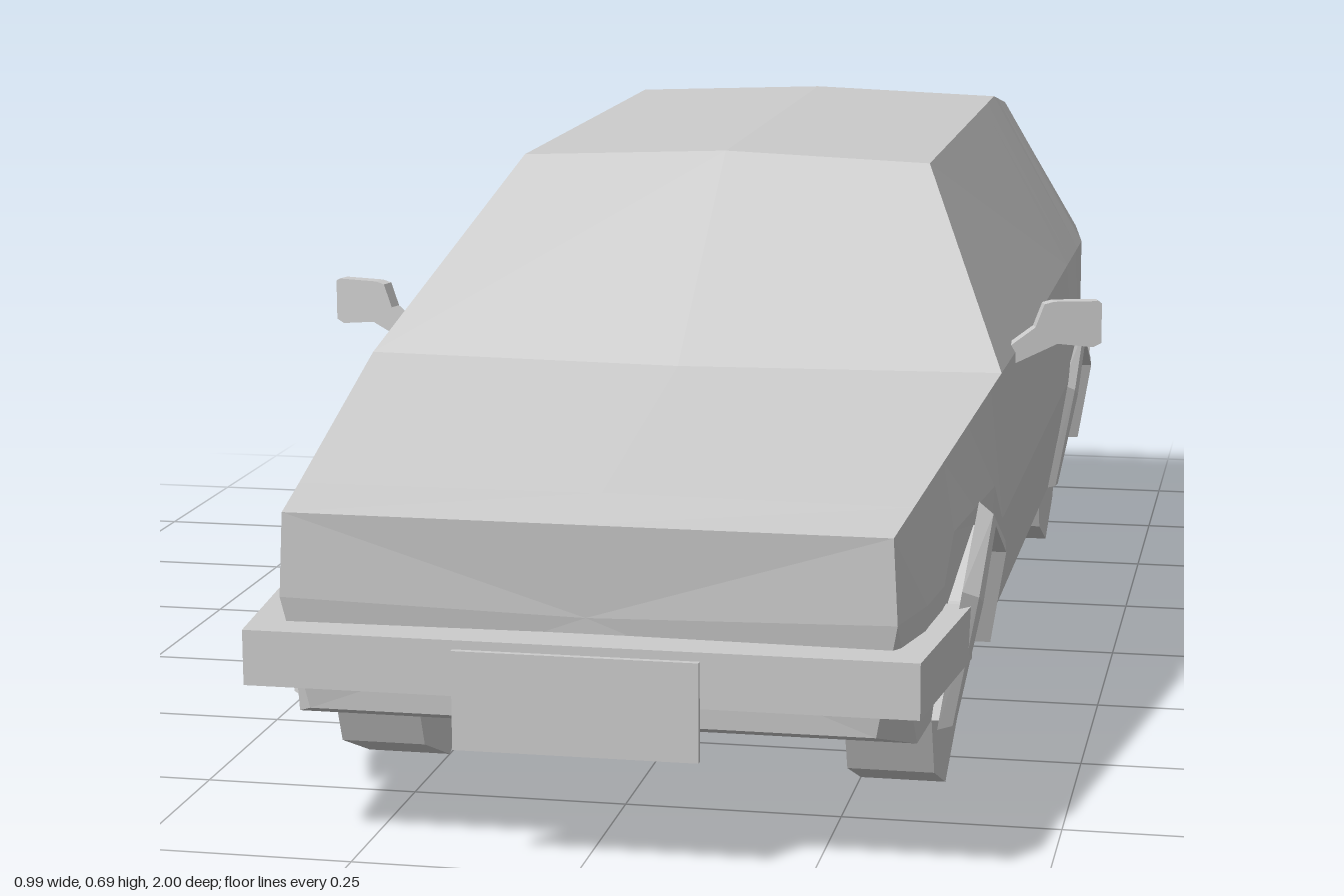
import * as THREE from 'three';

const material = new THREE.MeshStandardMaterial({ color: 0xcccccc, flatShading: true });
const thin = new THREE.MeshStandardMaterial({ color: 0xcccccc, flatShading: true, side: THREE.DoubleSide });

// Skin a row of cross-sections; closed rings are capped at both ends.
function loft(rings, closed) {
  const n = rings[0].length, pos = [];
  const tri = (...corners) => corners.forEach((p) => pos.push(...p));
  for (let i = 0; i < rings.length - 1; i++) {
    for (let j = 0; j < (closed ? n : n - 1); j++) {
      const k = (j + 1) % n;
      const a = rings[i][j], b = rings[i][k], c = rings[i + 1][j], d = rings[i + 1][k];
      tri(a, c, b);
      tri(b, c, d);
    }
  }
  if (closed) {
    const first = rings[0], last = rings[rings.length - 1];
    const mid = (r) => [0, 0.27, (r[0][2] + r[n / 2][2]) / 2];
    for (let j = 0; j < n; j++) {
      const k = (j + 1) % n;
      tri(mid(first), first[j], first[k]);
      tri(mid(last), last[k], last[j]);
    }
  }
  const g = new THREE.BufferGeometry();
  g.setAttribute('position', new THREE.Float32BufferAttribute(pos, 3));
  g.computeVertexNormals();
  return g;
}

// Body outline: z, topX, topY, centreY, beltX, beltY, waistX, bottomX, bottomY, centre bow
const KEYS = [
  [0.95, 0.335, 0.375, 0.375, 0.335, 0.375, 0.34, 0.315, 0.15, 0],
  [0.86, 0.344, 0.388, 0.39, 0.344, 0.388, 0.36, 0.35, 0.125, 0],
  [0.42, 0.39, 0.455, 0.455, 0.39, 0.455, 0.395, 0.37, 0.125, 0.025],
  [0.14, 0.265, 0.67, 0.68, 0.39, 0.45, 0.395, 0.37, 0.125, -0.005],
  [-0.6, 0.265, 0.68, 0.69, 0.39, 0.45, 0.395, 0.37, 0.125, 0],
  [-0.71, 0.27, 0.66, 0.668, 0.39, 0.45, 0.39, 0.37, 0.125, -0.01],
  [-0.84, 0.313, 0.55, 0.555, 0.37, 0.455, 0.375, 0.36, 0.125, -0.012],
  [-0.945, 0.345, 0.46, 0.465, 0.345, 0.46, 0.35, 0.33, 0.15, -0.015],
];
const WHEEL_Z = [0.6, -0.635];
// Wheel arch outline: offset along z, height
const ARCH = [[0.17, 0.125], [0.12, 0.25], [0, 0.31], [-0.12, 0.25], [-0.17, 0.125]];

function sample(z) {
  let i = 0;
  while (i < KEYS.length - 2 && z < KEYS[i + 1][0]) i++;
  const t = (z - KEYS[i][0]) / (KEYS[i + 1][0] - KEYS[i][0]);
  return KEYS[i].map((v, k) => THREE.MathUtils.lerp(v, KEYS[i + 1][k], t));
}

function section(z, archY) {
  const [, topX, topY, centreY, beltX, beltY, waistX, bottomX, bottomY, bow] = sample(z);
  const edgeY = Math.max(archY, bottomY);
  const waistY = edgeY > 0.2 ? 0.33 : 0.28;
  const edgeX = THREE.MathUtils.lerp(bottomX, waistX, (edgeY - bottomY) / (waistY - bottomY));
  const lowZ = z < -0.9 ? z + 0.02 : z > 0.9 ? z - 0.02 : z;
  const half = [
    [0, bottomY, lowZ], [0.24, bottomY, lowZ], [0.24, edgeY, lowZ], [edgeX, edgeY, lowZ],
    [waistX, waistY, z], [beltX, beltY, z], [topX, topY, z], [0, centreY, z + bow],
  ];
  const mirrored = half.slice(1, -1).reverse().map(([x, y, w]) => [-x, y, w]);
  return [...half, ...mirrored];
}

function bodyGeometry() {
  const stations = KEYS.map((k) => [k[0], 0]);
  for (const wz of WHEEL_Z) for (const [dz, y] of ARCH) stations.push([wz + dz, y]);
  // The roof bend lies inside the rear arch, so follow the arch height there
  for (const s of stations) {
    if (s[1]) continue;
    const dz = Math.abs(s[0] - WHEEL_Z[1]);
    if (dz < 0.12) s[1] = 0.31 - 0.5 * dz;
  }
  stations.sort((a, b) => b[0] - a[0]);
  return loft(stations.map(([z, y]) => section(z, y)), true);
}

// Raised lip around a wheel arch
function flareGeometry(wz) {
  const outer = [[0.205, 0.125], [0.155, 0.27], [0, 0.338], [-0.155, 0.27], [-0.205, 0.125]];
  return loft(ARCH.map(([dz, y], i) => {
    const low = y < 0.2;
    const [oz, oy] = outer[i];
    return [
      [0.35, y, wz + dz],
      [low ? 0.382 : 0.405, y, wz + dz],
      [low ? 0.38 : 0.402, y + (oy - y) * 0.5, wz + (dz + oz) / 2],
      [low ? 0.365 : 0.385, oy, wz + oz],
    ];
  }), false);
}

// Wrap-around bumper: plan outline (x, z) extruded upwards from y0
function bumperGeometry(plan, y0, height) {
  const shape = new THREE.Shape(plan.map(([x, z]) => new THREE.Vector2(x, -z)));
  return new THREE.ExtrudeGeometry(shape, { depth: height, bevelEnabled: false })
    .rotateX(-Math.PI / 2)
    .translate(0, y0, 0);
}

function mirrorGeometry() {
  const outline = [[-0.01, 0.435], [0.05, 0.462], [0.095, 0.457], [0.105, 0.462],
    [0.105, 0.512], [0.1, 0.515], [0.045, 0.515], [0.033, 0.512], [0.022, 0.483], [-0.01, 0.46]];
  const shape = new THREE.Shape(outline.map(([x, y]) => new THREE.Vector2(x, y)));
  return new THREE.ExtrudeGeometry(shape, { depth: 0.018, bevelEnabled: false })
    .rotateY(0.27)
    .translate(0.388, 0, 0.245);
}

export function createModel() {
  const car = new THREE.Group();
  car.name = 'hatchbackCar';
  const add = (name, geometry, mat = material) => {
    const mesh = new THREE.Mesh(geometry, mat);
    mesh.name = name;
    car.add(mesh);
    return mesh;
  };

  add('body', bodyGeometry());

  // Bumpers
  add('frontBumper', bumperGeometry([[-0.395, 0.74], [-0.37, 0.99], [0.37, 0.99], [0.395, 0.74],
    [0.345, 0.74], [0.32, 0.92], [-0.32, 0.92], [-0.345, 0.74]], 0.19, 0.062));
  add('rearBumper', bumperGeometry([[-0.398, -0.81], [-0.365, -0.98], [0, -1], [0.365, -0.98], [0.398, -0.81],
    [0.355, -0.81], [0.32, -0.92], [-0.32, -0.92], [-0.355, -0.81]], 0.235, 0.062));

  // Number plates
  add('frontPlate', new THREE.BoxGeometry(0.27, 0.11, 0.008).translate(0, 0.187, 0.993));
  add('rearPlate', new THREE.BoxGeometry(0.27, 0.11, 0.008).translate(0, 0.375, -0.952));

  // Wheels, arches and mirrors on both sides
  for (const side of [1, -1]) {
    const label = side > 0 ? 'Left' : 'Right';
    WHEEL_Z.forEach((wz, i) => {
      const end = i ? 'rear' : 'front';
      const wheel = new THREE.CylinderGeometry(0.15, 0.15, 0.1, 8).rotateZ(Math.PI / 2);
      add(`${end}${label}Wheel`, wheel).position.set(side * 0.3, 0.15, wz);
      add(`${end}${label}Arch`, flareGeometry(wz), thin).scale.x = side;
    });
    add(`door${label}Mirror`, mirrorGeometry()).scale.x = side;
  }
  return car;
}
